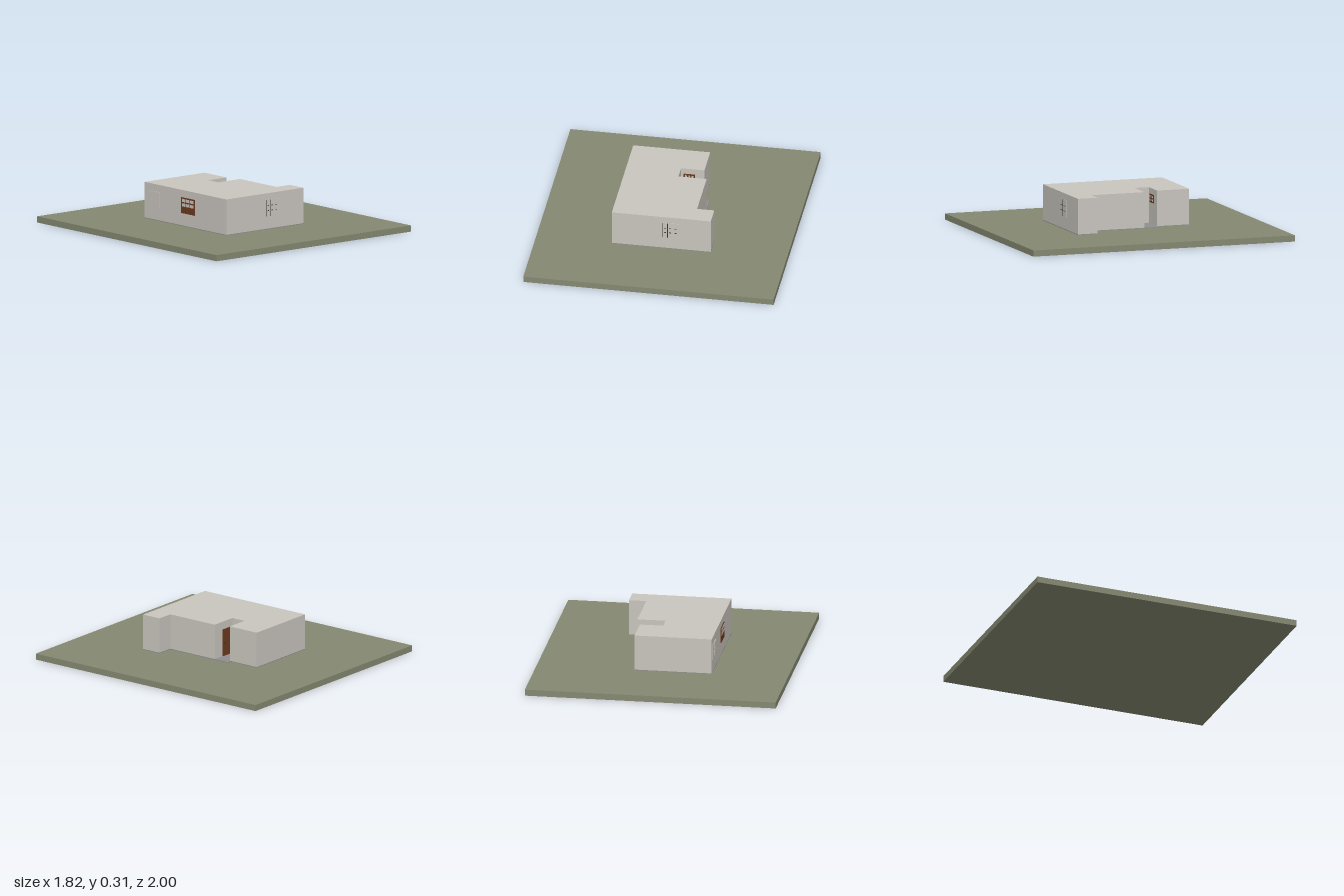
import * as THREE from 'three';

export function createModel() {
  const root = new THREE.Group();
  const mat = (name, color) => {
    const m = new THREE.MeshStandardMaterial({ color });
    m.name = name;
    return m;
  };
  const grass = mat('grass green', 0x858971);
  const plaster = mat('warm plaster', 0xc9c5be);
  const concrete = mat('concrete grey', 0x8f8f8f);
  const wood = mat('brown wood', 0x6b3a1e);
  const dark = mat('dark metal', 0x3a342e);

  // Box given by its minimum and maximum corners
  const box = (name, m, a, b, parent = root) => {
    const mesh = new THREE.Mesh(new THREE.BoxGeometry(b[0] - a[0], b[1] - a[1], b[2] - a[2]), m);
    mesh.position.set((a[0] + b[0]) / 2, (a[1] + b[1]) / 2, (a[2] + b[2]) / 2);
    mesh.name = name;
    parent.add(mesh);
    return mesh;
  };

  // Flat plot of land
  box('ground', grass, [-0.91, 0, -1], [0.91, 0.045, 1]);

  // House outline with the entrance alcove and the projecting front wing (x, z)
  const outline = [
    [-0.36, -0.455], [0.2, -0.455], [0.2, -0.21], [0.03, -0.21], [0.03, -0.1],
    [0.235, -0.1], [0.235, 0.305], [0.36, 0.305], [0.36, 0.455], [-0.36, 0.455],
  ];
  const shape = new THREE.Shape(outline.map(([x, z]) => new THREE.Vector2(x, -z)));
  const prism = (name, m, y0, y1) => {
    const g = new THREE.ExtrudeGeometry(shape, { depth: y1 - y0, bevelEnabled: false });
    g.rotateX(-Math.PI / 2);
    const mesh = new THREE.Mesh(g, m);
    mesh.position.y = y0;
    mesh.name = name;
    root.add(mesh);
  };
  prism('foundation', concrete, 0.045, 0.05);
  prism('houseWalls', plaster, 0.05, 0.308);

  // Paved floor of the entrance alcove
  box('entranceStep', concrete, [0.03, 0.045, -0.21], [0.235, 0.05, -0.1]);
  box('stepEdge', concrete, [0.2, 0.045, -0.22], [0.235, 0.05, -0.21]);

  // Openings are drawn in their own plane, facing +z, then turned onto a wall
  const opening = (name, x, y, z, turn) => {
    const g = new THREE.Group();
    g.name = name;
    g.position.set(x, y, z);
    g.rotation.y = turn;
    root.add(g);
    return g;
  };
  const paned = (g, w, h, columns, sill, frame, glass) => {
    box('windowFrame', frame, [-w / 2, 0, 0], [w / 2, h, 0.004], g);
    const bar = 0.01;
    const pw = (w - bar * (columns + 1)) / columns;
    const ph = (h - sill - bar * 2) / 2;
    for (let i = 0; i < columns; i++) {
      for (let j = 0; j < 2; j++) {
        const px = -w / 2 + bar + i * (pw + bar);
        const py = sill + j * (ph + bar);
        box('pane', glass, [px, py, 0.003], [px + pw, py + ph, 0.005], g);
      }
    }
  };

  // Left wall: a brown window and a plain one near the back corner
  paned(opening('leftWindow', -0.36, 0.14, 0.03, -Math.PI / 2), 0.15, 0.115, 3, 0.05, wood, plaster);
  paned(opening('leftBackWindow', -0.36, 0.14, -0.35, -Math.PI / 2), 0.13, 0.115, 2, 0.01, plaster, plaster);

  // Front window with slim dark bars and small fittings
  const front = opening('frontWindow', 0.065, 0.14, 0.455, 0);
  box('windowPanel', plaster, [-0.06, 0, 0], [0.06, 0.12, 0.003], front);
  box('sideBar', dark, [-0.056, 0, 0.002], [-0.053, 0.12, 0.005], front);
  box('middleBar', dark, [-0.021, 0, 0.002], [-0.015, 0.12, 0.006], front);
  for (const x of [-0.037, 0, 0.038]) {
    for (const y of [0.04, 0.076]) {
      box('fitting', dark, [x - 0.007, y, 0.002], [x + 0.007, y + 0.004, 0.006], front);
    }
  }

  // Alcove: a high window on one side and the front door opposite it
  paned(opening('alcoveWindow', 0.09, 0.205, -0.21, 0), 0.08, 0.06, 3, 0.01, wood, plaster);
  const door = opening('entranceDoor', 0.1, 0.05, -0.1, Math.PI);
  box('doorPanel', wood, [-0.045, 0, 0], [0.045, 0.2, 0.005], door);
  box('doorHandle', dark, [-0.032, 0.09, 0.004], [-0.022, 0.1, 0.01], door);

  return root;
}
